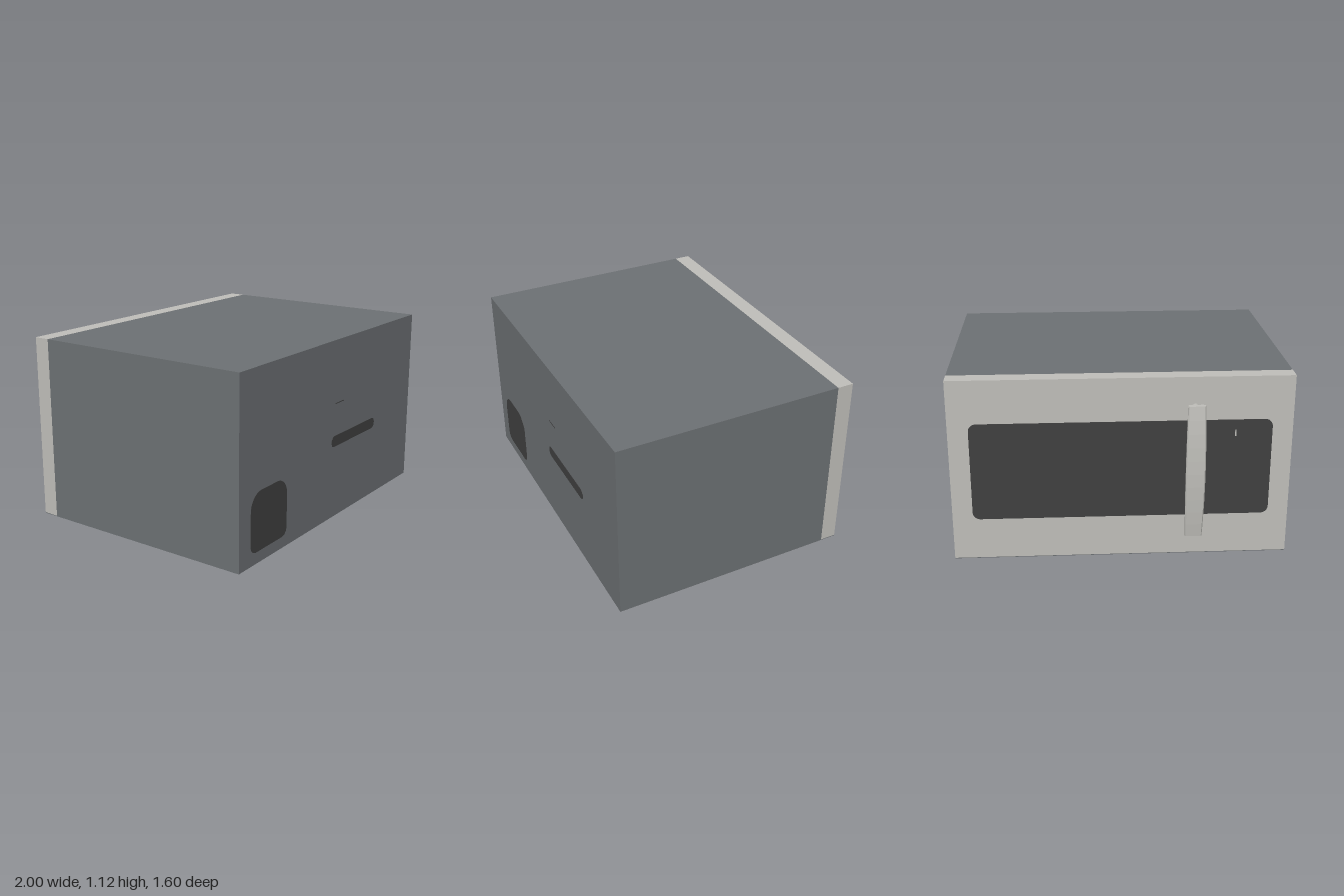
import * as THREE from 'three';

const mat = (name, color) => Object.assign(new THREE.MeshStandardMaterial({ color }), { name });

// Rectangle outline with separate corner radii at the top and bottom
function roundedRect(x0, y0, x1, y1, rTop, rBottom = rTop) {
  const s = new THREE.Shape();
  s.moveTo(x0 + rBottom, y0);
  s.lineTo(x1 - rBottom, y0);
  s.absarc(x1 - rBottom, y0 + rBottom, rBottom, -Math.PI / 2, 0);
  s.lineTo(x1, y1 - rTop);
  s.absarc(x1 - rTop, y1 - rTop, rTop, 0, Math.PI / 2);
  s.lineTo(x0 + rTop, y1);
  s.absarc(x0 + rTop, y1 - rTop, rTop, Math.PI / 2, Math.PI);
  s.lineTo(x0, y0 + rBottom);
  s.absarc(x0 + rBottom, y0 + rBottom, rBottom, Math.PI, Math.PI * 1.5);
  return s;
}

export function createModel() {
  const model = new THREE.Group();
  model.name = 'microwaveOven';

  const casing = mat('casing grey', 0x6d7174);
  const steel = mat('door steel', 0xc0bfba);
  const dark = mat('dark glass', 0x404040);

  const add = (parent, name, geometry, material, x = 0, y = 0, z = 0) => {
    const m = new THREE.Mesh(geometry, material);
    m.name = name;
    m.position.set(x, y, z);
    parent.add(m);
    return m;
  };
  const plate = (name, shape, material, z, thickness = 0.003) =>
    add(model, name, new THREE.ExtrudeGeometry(shape, { depth: thickness, bevelEnabled: false, curveSegments: 8 }), material, 0, 0, z);

  const H = 1.125;

  // Casing and its base, which runs on below the door
  add(model, 'casing', new THREE.BoxGeometry(2, H, 1.39), casing, 0, H / 2, 0.105);
  add(model, 'basePlate', new THREE.BoxGeometry(2, 0.004, 0.1), casing, 0, 0.002, -0.64);

  // Door slab, glass and clock mark, on the -z side
  add(model, 'door', new THREE.BoxGeometry(2, H - 0.004, 0.1), steel, 0, H / 2 + 0.002, -0.64);
  plate('doorWindow', roundedRect(-0.88, 0.26, 0.88, 0.862, 0.045), dark, -0.693);
  add(model, 'clockMark', new THREE.BoxGeometry(0.008, 0.04, 0.002), steel, -0.665, 0.78, -0.694);

  // Vents on the +z side
  plate('squareVent', roundedRect(-0.89, 0.07, -0.53, 0.425, 0.1, 0.05), dark, 0.799);
  plate('slotVent', roundedRect(-0.035, 0.46, 0.505, 0.528, 0.033), dark, 0.799);
  add(model, 'seam', new THREE.BoxGeometry(0.1, 0.005, 0.003), dark, 0.05, 0.733, 0.8005);

  // Bowed handle: chamfered bar, deeper and wider at mid height
  const handle = new THREE.Group();
  handle.name = 'handle';
  handle.position.set(-0.425, 0.565, -0.741);
  model.add(handle);

  const halfLength = 0.41;
  const profile = new THREE.Shape([
    [-0.04, 0], [0.04, 0], [0.05, 0.01], [0.05, 0.024],
    [0.044, 0.031], [-0.044, 0.031], [-0.05, 0.024], [-0.05, 0.01],
  ].map(([x, y]) => new THREE.Vector2(x, y)));
  const bar = new THREE.ExtrudeGeometry(profile, { depth: 2 * halfLength, steps: 10, bevelEnabled: false });
  bar.translate(0, 0, -halfLength);
  bar.rotateX(-Math.PI / 2);
  const p = bar.attributes.position;
  for (let i = 0; i < p.count; i++) {
    const bow = 1 - (p.getY(i) / halfLength) ** 2;
    p.setX(i, p.getX(i) * (1 + 0.14 * bow));
    p.setZ(i, p.getZ(i) - 0.026 * bow);
  }
  bar.computeVertexNormals();
  add(handle, 'handleBar', bar, steel);

  // Posts joining the bar to the door
  for (const side of [-1, 1]) {
    const post = new THREE.CylinderGeometry(0.024, 0.024, 0.07, 12);
    post.rotateX(Math.PI / 2);
    add(handle, side > 0 ? 'upperPost' : 'lowerPost', post, steel, 0, side * 0.376, 0.02);
  }

  return model;
}
